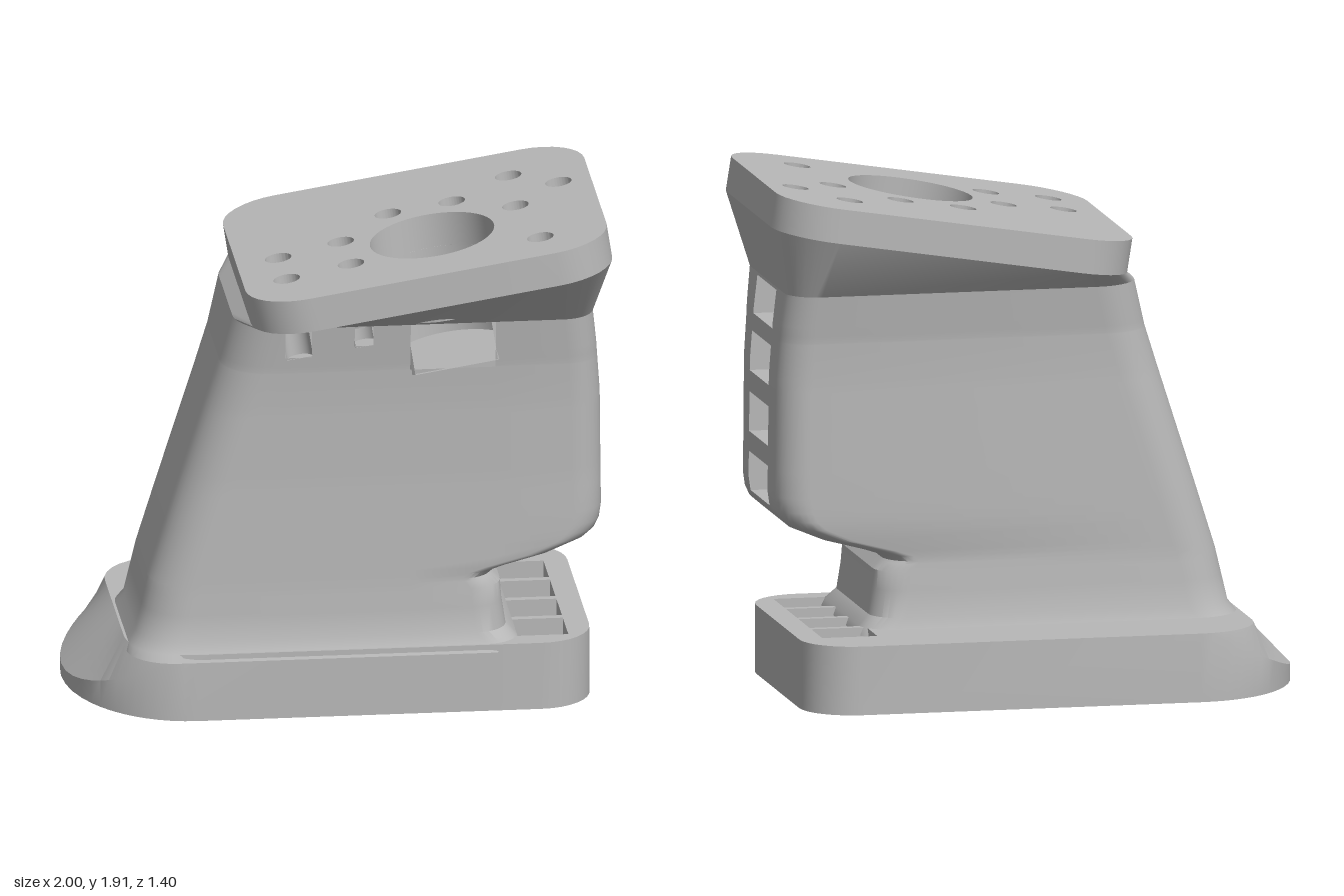
import * as THREE from 'three';
import { toCreasedNormals } from 'three/addons/utils/BufferGeometryUtils.js';

const grey = new THREE.MeshStandardMaterial({ color: 0xb8b8b8, side: THREE.DoubleSide });
grey.name = 'plain grey';

// Piecewise linear profile lookup: [[y, value], ...]
function at(profile, y) {
  for (let i = 1; i < profile.length; i++) {
    const [y0, a] = profile[i - 1], [y1, b] = profile[i];
    if (y <= y1) return THREE.MathUtils.lerp(a, b, (y - y0) / (y1 - y0));
  }
  return profile[profile.length - 1][1];
}

// Rounded rectangle, front side first, with fixed splits where openings are left
const FRONT = [-0.22, -0.12, 0.04, 0.11, 0.25, 0.57], SIDE = [0.2, -0.13], N = 8;
const FRONT_I = N + 1, SIDE_I = 2 * (N + 1) + FRONT.length;
function ring(x0, x1, z0, z1, rl, rr) {
  const p = [];
  const corner = (cx, cz, r, a0) => {
    for (let k = 0; k <= N; k++) {
      const a = a0 - (k / N) * Math.PI / 2;
      p.push([cx + r * Math.cos(a), cz + r * Math.sin(a)]);
    }
  };
  corner(x0 + rl, z1 - rl, rl, Math.PI);
  for (const x of FRONT) p.push([THREE.MathUtils.clamp(x, x0 + rl, x1 - rr), z1]);
  corner(x1 - rr, z1 - rr, rr, Math.PI / 2);
  for (const z of SIDE) p.push([x1, z]);
  corner(x1 - rr, z0 + rr, rr, 0);
  corner(x0 + rl, z0 + rl, rl, -Math.PI / 2);
  for (let k = 1; k < 12; k++) p.push([x0, THREE.MathUtils.lerp(z0 + rl, z1 - rl, k / 12)]);
  return p;
}

// Skin between rings of [x, y, z]; skip(i, j) leaves a cell open
function loft(rings, skip = () => false) {
  const n = rings[0].length, index = [];
  for (let j = 0; j < rings.length - 1; j++) {
    for (let i = 0; i < n; i++) {
      if (skip(i, j)) continue;
      const a = j * n + i, b = j * n + (i + 1) % n;
      index.push(a, b, b + n, a, b + n, a + n);
    }
  }
  const g = new THREE.BufferGeometry();
  g.setAttribute('position', new THREE.Float32BufferAttribute(rings.flat(2), 3));
  g.setIndex(index);
  return toCreasedNormals(g, 0.6);
}

// Box lining without the open face (0 = +x, 2 = +y)
function pocket(x0, x1, y0, y1, z0, z1, open) {
  const g = new THREE.BoxGeometry(x1 - x0, y1 - y0, z1 - z0);
  g.translate((x0 + x1) / 2, (y0 + y1) / 2, (z0 + z1) / 2);
  g.setIndex([...g.index.array].filter((_, k) => Math.floor(k / 6) !== open));
  return g;
}

export function createModel() {
  const model = new THREE.Group();
  const add = (name, geometry, parent = model) => {
    const m = new THREE.Mesh(geometry, grey);
    m.name = name;
    parent.add(m);
    return m;
  };
  const vectors = (pts) => pts.map(([x, y]) => new THREE.Vector2(x, y));

  // Base: rounded slab with a bevelled, bulging nose on the -x end
  const H = 0.26, mid = -0.125;
  const top = ring(-0.8, 0.94, -0.7, 0.45, 0.25, 0.2);
  const foot = top.map(([x, z]) => {
    if (x > -0.5501) return [x, z];
    const a = Math.atan2((-0.55 - x) / 0.45, (z - mid) / 0.575);
    return [-0.55 - 0.45 * Math.sin(a), mid + 0.575 * Math.cos(a)];
  });
  add('baseWall', loft([
    foot.map(([x, z]) => [x, 0, z]),
    foot.map(([x, z]) => [x, Math.min(H, 0.05 + (x + 1) * 0.5), z]),
    top.map(([x, z]) => [x, H, z]),
  ]));
  const underside = new THREE.ShapeGeometry(new THREE.Shape(vectors(foot)));
  add('baseUnderside', underside.rotateX(Math.PI / 2));

  // Base top with a row of four open pockets
  const deck = new THREE.Shape(vectors(top.map(([x, z]) => [x, -z])));
  for (let k = 0; k < 4; k++) {
    const z1 = 0.36 - k * 0.22, z0 = z1 - 0.19;
    deck.holes.push(new THREE.Path(vectors([[0.64, -z0], [0.64, -z1], [0.85, -z1], [0.85, -z0]])));
    add('basePocket', pocket(0.64, 0.85, 0.1, H, z0, z1, 2));
  }
  add('baseTop', new THREE.ShapeGeometry(deck).rotateX(-Math.PI / 2).translate(0, H, 0));

  // Body: leaning column with an undercut on the +x side
  const left = [[0.23, -0.8], [0.26, -0.79], [0.3, -0.76], [0.5, -0.715], [0.74, -0.64], [1.35, -0.445], [1.53, -0.4]];
  const right = [[0.23, 0.67], [0.26, 0.66], [0.3, 0.62], [0.4, 0.605], [0.47, 0.6], [0.51, 0.565], [0.53, 0.59],
    [0.55, 0.65], [0.59, 0.8], [0.64, 0.92], [0.67, 0.955], [0.705, 0.972], [0.76, 0.98], [1.2, 0.975], [1.4, 0.96], [1.53, 0.945]];
  const back = [[0.23, -0.385], [0.3, -0.36], [0.5, -0.345], [1.2, -0.345], [1.35, -0.353], [1.53, -0.38]];
  const front = [[0.23, 0.455], [0.3, 0.42], [0.5, 0.41], [0.9, 0.405], [1.2, 0.41], [1.35, 0.42], [1.53, 0.445]];
  const bodyRing = (y) => ring(at(left, y), at(right, y), at(back, y), at(front, y), 0.18, 0.12).map(([x, z]) => [x, y, z]);
  const slots = [[0.705, 0.855], [0.93, 1.08], [1.16, 1.31], [1.375, 1.52]];
  const cuts = [[0, 1.41], [2, 1.45], [4, 1.345]]; // front openings: split number, lower edge
  const levels = [...new Set([...left, ...right, ...back, ...front, ...slots.map((s) => [s[0]]),
    ...slots.map((s) => [s[1]]), ...cuts.map((c) => [c[1]])].map((r) => r[0]))].sort((a, b) => a - b);
  add('body', loft(levels.map(bodyRing), (i, j) => {
    const y = (levels[j] + levels[j + 1]) / 2;
    return (i === SIDE_I && slots.some(([a, b]) => y > a && y < b))
      || cuts.some(([k, low]) => i === FRONT_I + k && y > low);
  }));

  // Slots in the +x face, their rims following the wall
  for (const [y0, y1] of slots) {
    const g = pocket(0.8, 0.95, y0, y1, SIDE[1], SIDE[0], 0), p = g.attributes.position;
    for (let k = 0; k < p.count; k++) if (p.getX(k) > 0.9) p.setX(k, at(right, p.getY(k)));
    add('sideSlot', g);
  }

  // Tilted mounting plate; local y = 0 is its top face
  const tilt = 0.157, cx = 0.3025, cy = 1.8075, T = 0.13, c = Math.cos(tilt), s = Math.sin(tilt);
  const outline = ring(cx - 0.686, cx + 0.686, -0.5, 0.7, 0.22, 0.22);
  const plate = new THREE.Group();
  plate.name = 'mountingPlate';
  plate.position.set(cx, cy, 0);
  plate.rotation.z = tilt;
  model.add(plate);
  const shape = new THREE.Shape(vectors(outline.map(([x, z]) => [x - cx, z])));

  // Holes: x, z, radius, depth of full bore, total depth, z of the wall it breaks through
  const holes = [
    [0.35, 0.255, 0.235, 0.26, 0.47, 0.43], [-0.215, 0.435, 0.05, 0.2, 0.32, 0.432], [0.03, 0.4, 0.05, 0.24, 0.32, 0.435],
    [0.73, 0.495, 0.05, 0.25, 0.25], [0.69, -0.24, 0.05, 0.27, 0.27], [0.22, -0.07, 0.05, 0.27, 0.27],
    [0.46, -0.075, 0.05, 0.27, 0.27], [0.86, -0.07, 0.05, 0.27, 0.27], [0.68, 0.1, 0.05, 0.27, 0.27],
    [0.02, 0.14, 0.05, 0.27, 0.27], [-0.22, 0.19, 0.05, 0.27, 0.27],
  ];
  for (const [x, z, r, full, depth, wall] of holes) {
    const u = (x - cx) / c, bore = r > 0.1 ? 'mainBore' : 'screwHole';
    shape.holes.push(new THREE.Path().absarc(u, z, r, 0, Math.PI * 2, true));
    add(bore, new THREE.CylinderGeometry(r, r, full - T, 32, 1, true).translate(u, -(full + T) / 2, z), plate);
    const open = wall ? Math.acos((wall - z) / r) : 0;
    if (wall) {
      const g = new THREE.CylinderGeometry(r, r, depth - full, 32, 1, true, open, 2 * Math.PI - 2 * open);
      add(bore, g.translate(u, -(full + depth) / 2, z), plate);
    }
    const floor = new THREE.Shape().absarc(0, 0, r, Math.PI * 1.5 + open, Math.PI * 3.5 - open, false);
    add(bore + 'Floor', new THREE.ShapeGeometry(floor, 24).rotateX(-Math.PI / 2).translate(u, -depth, z), plate);
  }
  const slab = new THREE.ExtrudeGeometry(shape, { depth: T, bevelEnabled: false, curveSegments: 32 });
  add('plateSlab', toCreasedNormals(slab.rotateX(Math.PI / 2), 0.6), plate);

  // Neck flaring from the body out to the plate
  add('flaredNeck', loft([
    bodyRing(1.53),
    outline.map(([x, z]) => [cx + (x - cx) * c + T * s, cy + (x - cx) * s - T * c, z]),
  ]));
  return model;
}
